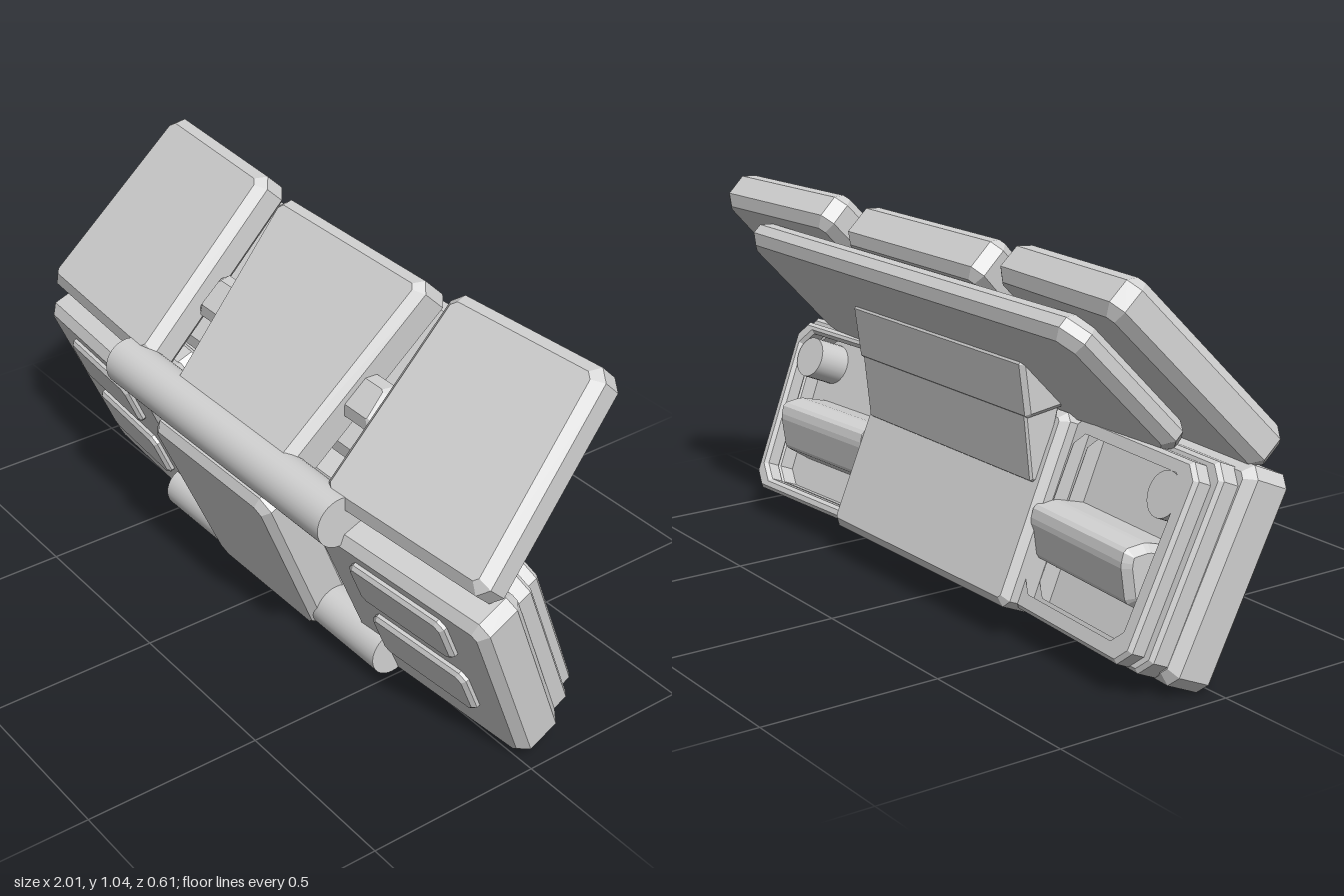
import * as THREE from 'three';

const grey = new THREE.MeshStandardMaterial({ color: 0xd2d2d2 });
grey.name = 'plain grey';

const LOWER_TILT = 0.401;
const UPPER_TILT = -0.77;
const SWEEP = 0.068;

function add(parent, name, geometry) {
  const mesh = new THREE.Mesh(geometry, grey);
  mesh.name = name;
  parent.add(mesh);
  return mesh;
}

// Group tilted about x, then swept about the vertical
function tilted(parent, name, x, tilt, sweep) {
  const group = new THREE.Group();
  group.name = name;
  group.position.x = x;
  group.rotation.set(tilt, sweep, 0, 'YXZ');
  parent.add(group);
  return group;
}

// Closed outline through the corners, each corner cut off by c
function outline(corners, c, Type = THREE.Shape) {
  const pts = [];
  const v = corners.map(([x, y]) => new THREE.Vector2(x, y));
  v.forEach((p, i) => {
    for (const q of [v[(i + v.length - 1) % v.length], v[(i + 1) % v.length]]) {
      pts.push(p.clone().add(q.clone().sub(p).setLength(c)));
    }
  });
  return new Type(pts);
}

// Bevelled plate between z0 and z1
function plate(corners, z0, z1, bevel = 0.025, cut = 0.025, hole = null) {
  const shape = outline(corners, cut);
  if (hole) shape.holes.push(outline(hole, cut, THREE.Path));
  const g = new THREE.ExtrudeGeometry(shape, {
    depth: z1 - z0 - 2 * bevel, bevelEnabled: true, bevelSegments: 1,
    bevelSize: bevel, bevelThickness: bevel, bevelOffset: -bevel,
  });
  return g.translate(0, 0, z0 + bevel);
}

// Four corners of an upright trapezoid, mirrored by s
const quad = (s, xb0, xb1, xt0, xt1, y0, y1) =>
  [[s * xb0, y0], [s * xb1, y0], [s * xt1, y1], [s * xt0, y1]];

const centred = (bottom, top, y0, y1) => quad(1, -bottom, bottom, -top, top, y0, y1);

// Bar along x with a (z, y) cross-section
function bar(profile, halfWidth, bevel) {
  const g = plate(profile.map(([z, y]) => [-z, y]), -halfWidth, halfWidth, bevel, 0.008);
  return g.rotateY(Math.PI / 2);
}

export function createModel() {
  const model = new THREE.Group();
  model.name = 'foldedArmourPanels';
  const lower = tilted(model, 'lowerPanels', 0, LOWER_TILT, 0);
  const upper = tilted(model, 'upperPanels', 0, UPPER_TILT, 0);

  // Centre panels, backing plates and cross members
  add(lower, 'lowerCentreFront', plate(centred(0.24, 0.27, 0.035, 0.595), -0.05, 0.088, 0.022, 0.035));
  add(lower, 'lowerCentreBack', plate(centred(0.42, 0.42, 0, 0.525), -0.27, -0.1, 0.02, 0.02));
  add(lower, 'lowerConnector', plate(centred(0.36, 0.36, 0.27, 0.42), -0.13, -0.03, 0.02, 0.02));
  add(upper, 'upperCentreFront', plate(centred(0.26, 0.32, 0.255, 0.87), 0.47, 0.602, 0.025, 0.03));
  add(upper, 'upperBackPlate', plate(centred(0.8, 0.77, 0.38, 0.86), 0.388, 0.468, 0.025, 0.05));
  add(upper, 'upperConnector', plate(centred(0.4, 0.39, 0.47, 0.605), 0.44, 0.56, 0.025, 0.02));

  for (const s of [1, -1]) {
    const side = s > 0 ? 'left' : 'right';

    // Upper wing
    const up = tilted(model, side + 'UpperWing', s * 0.4, UPPER_TILT, s * SWEEP);
    add(up, side + 'UpperPanel', plate(quad(s, -0.015, 0.575, 0.01, 0.535, 0.275, 0.89), 0.483, 0.602, 0.027, 0.03));

    // Lower wing with stepped rim around a rear pocket
    const low = tilted(model, side + 'LowerWing', s * 0.4, LOWER_TILT, s * SWEEP);
    add(low, side + 'LowerPanel', plate(quad(s, -0.025, 0.565, -0.03, 0.592, 0, 0.57), -0.12, 0.025, 0.025, 0.03));
    const pocket = quad(s, 0.02, 0.475, 0.02, 0.495, 0.045, 0.5);
    add(low, side + 'OuterRim', plate(quad(s, -0.02, 0.54, -0.02, 0.56, 0.005, 0.55), -0.175, -0.1, 0.01, 0.04, pocket));
    add(low, side + 'InnerRim', plate(quad(s, -0.01, 0.51, -0.01, 0.53, 0.01, 0.53), -0.222, -0.165, 0.01, 0.04, pocket));

    // Raised front pads
    for (const [y0, y1, n] of [[0.365, 0.515, 'Upper'], [0.14, 0.295, 'Lower']]) {
      add(low, side + n + 'Pad', plate(quad(s, 0.105, 0.45, 0.105, 0.45, y0, y1), 0, 0.045, 0.01, 0.02));
    }

    // Pocket fittings
    const block = add(low, side + 'PocketBlock', bar(
      [[-0.1, 0.32], [-0.215, 0.305], [-0.268, 0.275], [-0.262, 0.235], [-0.21, 0.15], [-0.1, 0.13]], 0.22, 0.02));
    block.position.x = s * 0.22;
    const peg = add(low, side + 'PocketPeg', new THREE.CylinderGeometry(0.06, 0.06, 0.11, 24));
    peg.rotation.x = Math.PI / 2;
    peg.position.set(s * 0.43, 0.43, -0.165);
  }

  // Hinge rods
  for (const [name, y, z, r] of [['upperHingeRod', 0.567, 0.23, 0.071], ['lowerHingeRod', 0.076, 0.05, 0.066]]) {
    const rod = add(model, name, new THREE.CylinderGeometry(r, r, 0.99, 32));
    rod.rotation.z = Math.PI / 2;
    rod.position.set(0, y, z);
  }

  // Rear bracket joining the two halves
  add(model, 'rearBracket', bar([[-0.02, 0.6], [-0.153, 0.582], [-0.175, 0.735], [-0.15, 0.745], [-0.03, 0.63]], 0.4, 0.012));
  add(model, 'rearBracketFoot', bar([[-0.04, 0.6], [-0.152, 0.6], [-0.13, 0.405], [-0.09, 0.42]], 0.385, 0.006));

  return model;
}
